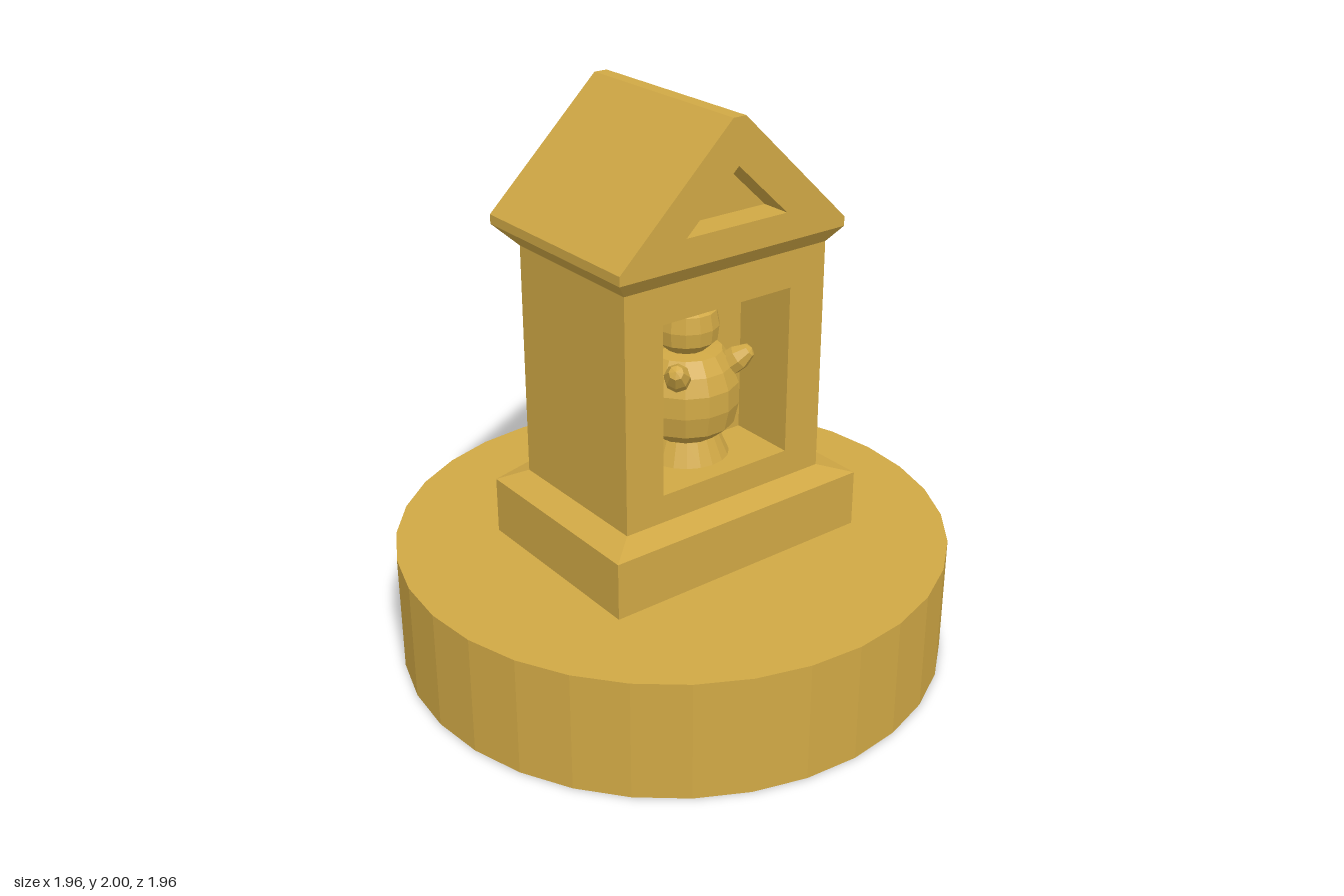
import * as THREE from 'three';

// Shape from [u, v] points, with an optional hole
function makeShape(points, hole) {
  const toVectors = (list) => list.map(([u, v]) => new THREE.Vector2(u, v));
  const shape = new THREE.Shape(toVectors(points));
  if (hole) shape.holes.push(new THREE.Path(toVectors(hole)));
  return shape;
}

// Extrude a (z, y) section along x, from x0 to x1
function alongX(points, x0, x1, hole) {
  const geometry = new THREE.ExtrudeGeometry(makeShape(points, hole), { depth: x1 - x0, bevelEnabled: false });
  return geometry.rotateY(Math.PI / 2).translate(x0, 0, 0);
}

// Extrude an (x, z) plan upwards, from y0 to y1
function alongY(points, y0, y1) {
  const plan = points.map(([x, z]) => [x, -z]);
  const geometry = new THREE.ExtrudeGeometry(makeShape(plan), { depth: y1 - y0, bevelEnabled: false });
  return geometry.rotateX(-Math.PI / 2).translate(0, y0, 0);
}

// Sloping band between two (x, z) plans
function band(lower, y0, upper, y1) {
  const positions = [];
  lower.forEach((p, i) => {
    const j = (i + 1) % lower.length;
    const a = [p[0], y0, p[1]], b = [lower[j][0], y0, lower[j][1]];
    const c = [upper[j][0], y1, upper[j][1]], d = [upper[i][0], y1, upper[i][1]];
    positions.push(...a, ...b, ...c, ...a, ...c, ...d);
  });
  const geometry = new THREE.BufferGeometry();
  geometry.setAttribute('position', new THREE.Float32BufferAttribute(positions, 3));
  geometry.computeVertexNormals();
  return geometry;
}

// Five-sided plan: flat front at +x, pointed back at -x
const plan = (front, back, tip, half) =>
  [[front, half], [front, -half], [back, -half], [tip, 0], [back, half]];

const rect = (half, y0, y1) => [[-half, y0], [half, y0], [half, y1], [-half, y1]];

export function createModel() {
  const group = new THREE.Group();
  const gold = new THREE.MeshStandardMaterial({ color: 0xd0a845 });
  gold.name = 'gold';
  gold.flatShading = true;

  const add = (name, geometry, parent = group) => {
    const mesh = new THREE.Mesh(geometry, gold);
    mesh.name = name;
    parent.add(mesh);
    return mesh;
  };

  // Round base
  add('roundBase', new THREE.CylinderGeometry(0.98, 0.98, 0.432, 32).rotateY(Math.PI / 2).translate(0, 0.216, 0));

  // Plinth with sloping top
  const plinthPlan = plan(0.39, -0.34, -0.475, 0.515);
  const wallPlan = plan(0.3, -0.283, -0.39, 0.413);
  add('plinth', alongY(plinthPlan, 0.432, 0.637));
  add('plinthSlope', band(plinthPlan, 0.637, wallPlan, 0.665));

  // Walls: solid back, front frame around the niche
  const nicheBack = 0.05;
  add('backWall', alongY(plan(nicheBack, -0.283, -0.39, 0.413), 0.66, 1.5));
  add('nicheFrame', alongX(rect(0.413, 0.66, 1.5), nicheBack, 0.3, rect(0.264, 0.765, 1.37)));

  // Eaves flare out to the roof edge
  const roofPlan = plan(0.34, -0.39, -0.39, 0.457);
  add('eaves', band(wallPlan, 1.5, roofPlan, 1.555));

  // Roof core, and gable ends with triangular recesses
  const roof = [[-0.457, 1.555], [0.457, 1.555], [0.457, 1.588], [0.025, 2], [-0.025, 2], [-0.457, 1.588]];
  const recess = [[-0.204, 1.653], [0.204, 1.653], [0, 1.845]];
  const depth = 0.11;
  add('roof', alongX(roof, -0.39 + depth, 0.34 - depth));
  add('frontGable', alongX(roof, 0.34 - depth, 0.34, recess));
  add('backGable', alongX(roof, -0.39, -0.39 + depth, recess));

  // Statue in the niche
  const statue = new THREE.Group();
  statue.name = 'statue';
  statue.position.set(0.08, 0, 0);
  group.add(statue);
  const turned = (name, profile, sides = 14) =>
    add(name, new THREE.LatheGeometry(profile.map(([r, y]) => new THREE.Vector2(r, y)), sides), statue);
  turned('statueFoot', [[0, 0.765], [0.15, 0.765], [0.115, 0.845], [0, 0.845]], 20);
  turned('statueBody', [[0, 0.845], [0.115, 0.845], [0.168, 0.89], [0.185, 0.965],
    [0.183, 1.04], [0.16, 1.1], [0.125, 1.15], [0, 1.16]]);
  turned('statueHead', [[0, 1.15], [0.07, 1.155], [0.108, 1.19], [0.114, 1.24],
    [0.104, 1.295], [0.055, 1.328], [0, 1.328]]);

  // Raised arms, mirrored
  for (const side of [1, -1]) {
    const arm = turned(side > 0 ? 'rightArm' : 'leftArm',
      [[0, -0.08], [0.03, -0.07], [0.045, -0.02], [0.044, 0.02], [0.025, 0.065], [0, 0.075]], 8);
    arm.position.set(0.11, 1.11, side * 0.122);
    arm.quaternion.setFromUnitVectors(new THREE.Vector3(0, 1, 0),
      new THREE.Vector3(0.55, 0.6, side * 0.5).normalize());
  }
  return group;
}
